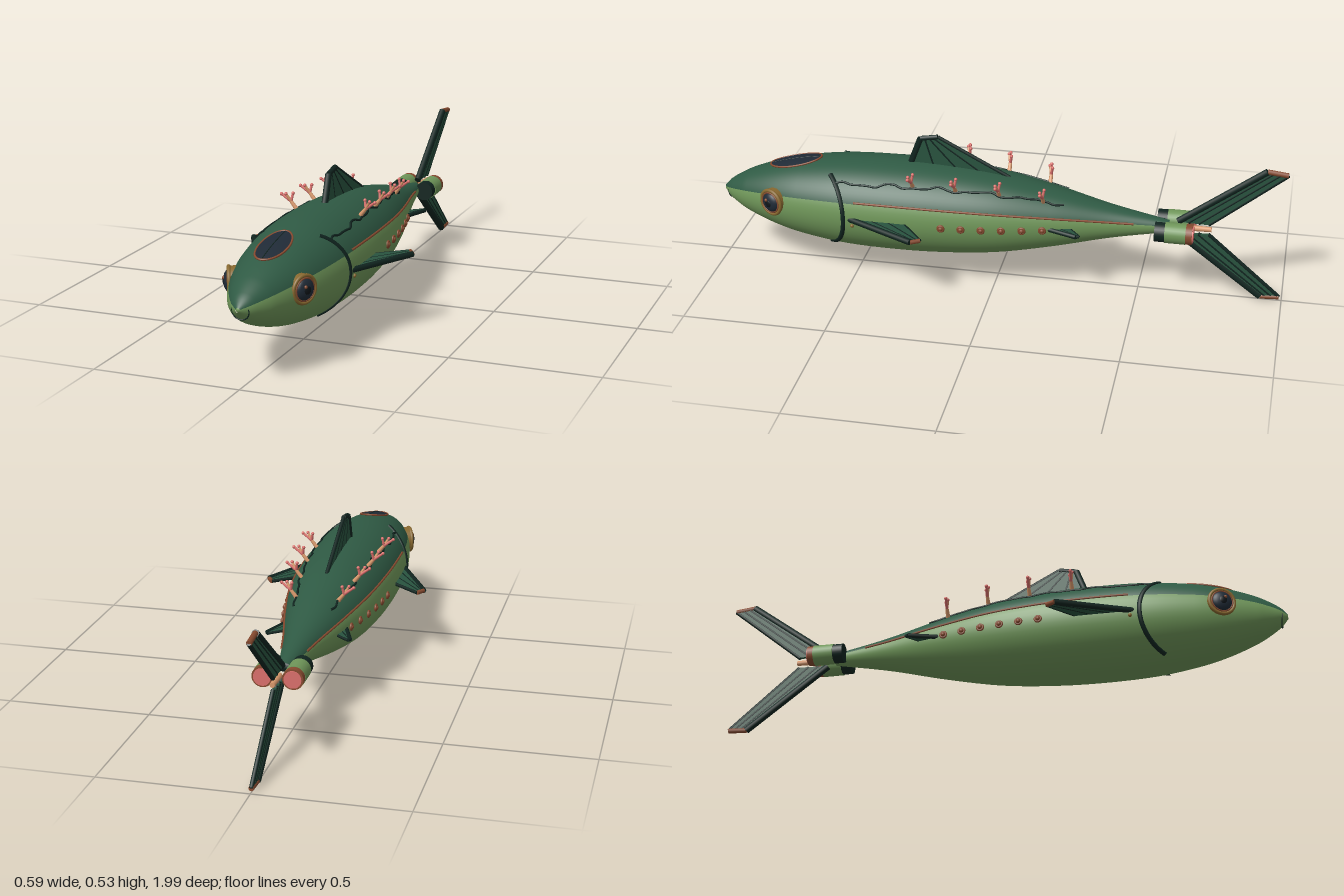
import * as THREE from 'three';
import { ParametricGeometry } from 'three/addons/geometries/ParametricGeometry.js';

const V = (x, y, z) => new THREE.Vector3(x, y, z);
const mat = (name, color) => new THREE.MeshStandardMaterial({ name, color });
const CY = 0.2525, FLAT = 0.935;

// Hull radius along z, from tail to nose
const PROFILE = [[-0.6, 0.022], [-0.4, 0.062], [-0.2, 0.113], [0, 0.154], [0.2, 0.173], [0.38, 0.177], [0.55, 0.17],
  [0.7, 0.148], [0.8, 0.122], [0.9, 0.083], [0.95, 0.054], [0.98, 0.032], [1, 0.008]];

function radius(z) {
  const n = PROFILE.length;
  let i = 0;
  while (i < n - 2 && z > PROFILE[i + 1][0]) i++;
  const slope = (k) => {
    const a = PROFILE[Math.max(k - 1, 0)], b = PROFILE[Math.min(k + 1, n - 1)];
    return (b[1] - a[1]) / (b[0] - a[0]);
  };
  const [z0, r0] = PROFILE[i], [z1, r1] = PROFILE[i + 1];
  const h = z1 - z0, t = (z - z0) / h, t2 = t * t, t3 = t2 * t;
  return (2 * t3 - 3 * t2 + 1) * r0 + (t3 - 2 * t2 + t) * h * slope(i)
    + (3 * t2 - 2 * t3) * r1 + (t3 - t2) * h * slope(i + 1);
}

// Point on the hull at z and an angle up from the left side
function surf(z, deg, off = 0) {
  const a = THREE.MathUtils.degToRad(deg), r = radius(z);
  return V(Math.cos(a) * (r + off), CY + Math.sin(a) * (r * FLAT + off), z);
}
// Point on the top of the hull above x, z
function roof(x, z, off) {
  const r = radius(z);
  return V(x, CY + FLAT * Math.sqrt(Math.max(0, r * r - x * x)) + off, z);
}

export function createModel() {
  const model = new THREE.Group();
  const M = {
    back: mat('deep green', 0x2f5a44), belly: mat('leaf green', 0x6f9659), fin: mat('fin green', 0x29533f),
    trim: mat('black green', 0x10241f), glass: mat('dark glass', 0x1f2a36), brass: mat('brass', 0x88682f),
    copper: mat('copper', 0x864a2f), coral: mat('coral pink', 0xdb706c), peach: mat('peach', 0xd9996c),
    pupil: mat('black', 0x0f1519),
  };

  const add = (name, geo, material, parent = model, pos) => {
    const m = new THREE.Mesh(geo, material);
    m.name = name;
    if (pos) m.position.copy(pos);
    parent.add(m);
    return m;
  };
  const tube = (name, pts, r, material, closed = false) =>
    add(name, new THREE.TubeGeometry(new THREE.CatmullRomCurve3(pts, closed), pts.length * 5, r, 8, closed), material);
  const rod = (name, a, b, r0, r1, material, parent = model, sides = 8) => {
    const m = add(name, new THREE.CylinderGeometry(r1, r0, a.distanceTo(b), sides), material, parent, a.clone().lerp(b, 0.5));
    m.quaternion.setFromUnitVectors(V(0, 1, 0), b.clone().sub(a).normalize());
    return m;
  };
  const along = (n, f) => Array.from({ length: n + 1 }, (_, i) => f(i / n));

  // Hull: dark back, light belly
  const hull = (name, from, to, material) => add(name, new ParametricGeometry((u, v, p) =>
    p.copy(surf(-0.6 + 1.6 * v, from + (to - from) * u)), 32, 80), material);
  hull('hullBack', 21, 159, M.back);
  hull('hullBelly', 159, 381, M.belly);
  add('noseTip', new THREE.SphereGeometry(0.011, 16, 12), M.belly, model, V(0, CY, 0.989));
  tube('mouth', along(18, (t) => {
    const a = Math.PI * (0.88 + 1.24 * t);
    return V(0.028 * Math.cos(a), 0.244 + 0.028 * Math.sin(a), 0.983 - 0.006 * Math.sin(Math.PI * t));
  }), 0.002, M.trim);

  // Forehead window, wrapped onto the hull
  const lens = (a, s, off) => roof(0.049 * s * Math.cos(a), 0.73 + 0.094 * s * Math.sin(a), off);
  add('windowGlass', new ParametricGeometry((u, v, p) =>
    p.copy(lens(u * Math.PI * 2, 0.01 + 0.99 * v, 0.004)), 36, 6), M.glass);
  tube('windowRim', along(27, (t) => lens(t * Math.PI * 2 * 27 / 28, 1, 0.003)), 0.0036, M.copper, true);
  tube('windowBar', along(8, (t) => roof(0, 0.64 + 0.18 * t, 0.004)), 0.0016, M.trim);

  // Flat fin: corners are root front, tip front, tip back, root back
  function fin(name, corners, ribs, r, tipMaterial) {
    const g = new THREE.Group();
    g.name = name;
    const [rf, tf, tb, rb] = corners.map(([a, b]) => V(a, b, 0));
    const shape = new THREE.Shape(corners.map(([a, b]) => new THREE.Vector2(a, b)));
    const plate = new THREE.ExtrudeGeometry(shape, { depth: r, bevelEnabled: false });
    plate.translate(0, 0, -r / 2);
    add('finPlate', plate, M.fin, g);
    for (let i = 0; i <= ribs; i++) {
      const t = i / ribs, k = i === 0 ? 1 : 0.6;
      rod('finRib', rf.clone().lerp(rb, t), tf.clone().lerp(tb, t), r * k, r * k, M.trim, g);
    }
    rod('finTip', tf, tb, r * 0.75, r * 0.75, tipMaterial, g);
    model.add(g);
    return g;
  }
  const upright = (...args) => { fin(...args).rotation.y = -Math.PI / 2; };
  const level = (...args) => { const g = fin(...args); g.rotation.x = Math.PI / 2; g.position.y = CY; };

  upright('dorsalFin', [[0.315, 0.4], [0.275, 0.507], [0.215, 0.517], [-0.04, 0.385]], 4, 0.012, M.trim);
  upright('upperTailFin', [[-0.63, 0.275], [-0.92, 0.49], [-0.99, 0.482], [-0.735, 0.272]], 3, 0.0125, M.copper);
  upright('lowerTailFin', [[-0.63, 0.23], [-0.925, 0.01], [-0.99, 0.014], [-0.735, 0.233]], 3, 0.0125, M.copper);
  rod('tailSpine', V(0, CY, -0.66), V(0, CY, -0.745), 0.011, 0.009, M.peach);

  for (const s of [1, -1]) {
    const side = s > 0 ? 'left' : 'right';
    const at = (z, deg, off) => { const p = surf(z, deg, off); p.x *= s; return p; };

    level(side + 'PectoralFin', [[s * 0.165, 0.495], [s * 0.288, 0.25], [s * 0.27, 0.22], [s * 0.16, 0.31]], 3, 0.0105, M.copper);
    level(side + 'RearFin', [[s * 0.09, -0.15], [s * 0.143, -0.295], [s * 0.138, -0.305], [s * 0.07, -0.25]], 2, 0.008, M.trim);

    // Eye: brass housing, domed glass, pupil
    const eye = new THREE.Group();
    eye.name = side + 'Eye';
    eye.position.copy(at(0.79, 9, 0.004));
    eye.rotation.y = s * THREE.MathUtils.degToRad(64);
    rod('eyeHousing', V(0, 0, -0.027), V(0, 0, 0.003), 0.047, 0.047, M.brass, eye, 32);
    add('eyeRing', new THREE.TorusGeometry(0.044, 0.0065, 12, 36), M.brass, eye);
    add('eyeInnerRing', new THREE.TorusGeometry(0.0365, 0.003, 8, 36), M.copper, eye, V(0, 0, 0.004));
    add('eyeGlass', new THREE.SphereGeometry(0.036, 24, 16), M.glass, eye).scale.z = 0.5;
    add('eyePupil', new THREE.SphereGeometry(0.018, 16, 12), M.pupil, eye, V(0, 0, 0.01)).scale.z = 0.55;
    add('eyeGlint', new THREE.SphereGeometry(0.006, 10, 8), M.copper, eye, V(s * -0.008, 0.012, 0.016));
    model.add(eye);

    // Gill band, side stripe and crooked vine
    tube(side + 'GillBand', along(16, (t) => {
      const d = 57 - 117 * t;
      return at(0.517 + 0.065 * (d / 58) ** 2, d, -0.003);
    }), 0.009, M.trim);
    tube(side + 'Stripe', along(20, (t) => at(0.48 - 0.96 * t, 22.5, 0.001)), 0.004, M.copper);
    tube(side + 'Vine', along(26, (t) =>
      at(0.56 - 0.8 * t, 44 + 9 * t + 2 * Math.sin(t * 31) + 1.5 * Math.sin(t * 57), 0.001)), 0.004, M.trim);

    // Portholes
    for (let i = 0; i < 6; i++) {
      const p = at(0.17 - 0.069 * i, 0, 0.002);
      add(side + 'PortholeRing', new THREE.TorusGeometry(0.01, 0.0045, 8, 18), M.copper, model, p).rotation.y = Math.PI / 2;
      add(side + 'PortholeDome', new THREE.SphereGeometry(0.009, 12, 8), M.copper, model, p);
    }
    add(side + 'Rivet', new THREE.SphereGeometry(0.007, 10, 8), M.brass, model, at(0.485, -7, 0));

    // Coral sprigs, forking across the hull
    [[0.28, 49], [0.13, 49], [-0.02, 51], [-0.17, 52]].forEach(([z, deg]) => {
      const g = new THREE.Group();
      g.name = side + 'Coral';
      g.position.copy(at(z, deg, -0.003));
      g.quaternion.setFromUnitVectors(V(0, 1, 0), V(s * 0.62, 0.785, 0).normalize());
      const fork = V(0, 0.034, 0);
      rod('coralStem', V(0, 0, 0), fork, 0.008, 0.006, M.peach, g);
      [[0.011, 0.073, 0.004, M.coral], [-0.021, 0.052, -0.005, M.coral], [-0.004, 0.064, 0.007, M.peach]].forEach(([x, y, w, m]) => {
        const tip = V(x * s, y, w);
        rod('coralBranch', fork, tip, 0.0055, 0.0042, m, g);
        add('coralBud', new THREE.SphereGeometry(0.006, 10, 8), M.coral, g, tip);
      });
      model.add(g);
    });

    // Thruster: collar, barrel, copper lip, glowing outlet
    const drum = (name, z0, z1, r, material) =>
      rod(side + name, V(s * 0.05, CY, z0), V(s * 0.05, CY, z1), r, r, material, model, 28);
    drum('ThrusterCollar', -0.555, -0.597, 0.034, M.trim);
    drum('ThrusterBarrel', -0.59, -0.662, 0.036, M.belly);
    drum('ThrusterLip', -0.662, -0.684, 0.035, M.copper);
    drum('ThrusterOutlet', -0.68, -0.688, 0.029, M.coral);
  }
  rod('thrusterBridge', V(-0.05, CY, -0.58), V(0.05, CY, -0.58), 0.018, 0.018, M.trim);

  return model;
}
